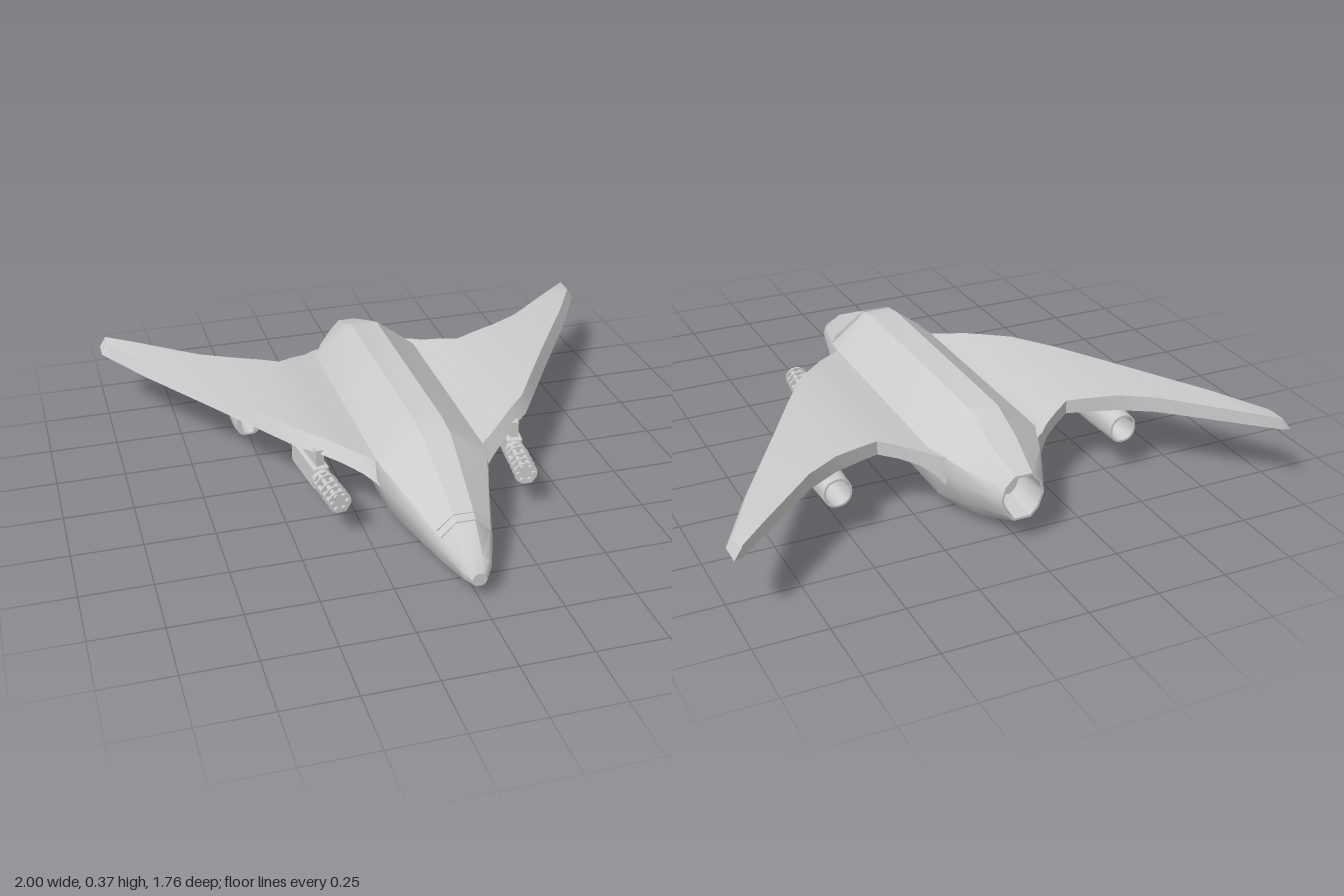
import * as THREE from 'three';
import { toCreasedNormals } from 'three/addons/utils/BufferGeometryUtils.js';
import { RoundedBoxGeometry } from 'three/addons/geometries/RoundedBoxGeometry.js';

const grey = new THREE.MeshStandardMaterial({ color: 0xcccccc });

function part(name, geometry, parent) {
  const mesh = new THREE.Mesh(geometry, grey);
  mesh.name = name;
  parent.add(mesh);
  return mesh;
}

// Skin a list of equal-length rings of [x, y, z]; optional flat end caps.
function loft(rings, caps = true, crease = 0.62) {
  const n = rings[0].length, index = [];
  for (let k = 0; k < rings.length - 1; k++) {
    for (let i = 0; i < n; i++) {
      const j = (i + 1) % n;
      const a = k * n + i, b = k * n + j, c = a + n, d = b + n;
      index.push(a, c, b, b, c, d);
    }
  }
  if (caps) {
    const e = (rings.length - 1) * n;
    for (let i = 1; i < n - 1; i++) index.push(0, i, i + 1, e, e + i + 1, e + i);
  }
  const g = new THREE.BufferGeometry();
  g.setAttribute('position', new THREE.Float32BufferAttribute(rings.flat(2), 3));
  g.setIndex(index);
  return toCreasedNormals(g, crease);
}

// Half outline (right side, bottom to top) completed to a symmetric ring.
const symmetric = (half, z) => [
  ...half.map(([x, y]) => [x, y, z]),
  ...[...half].reverse().map(([x, y]) => [-x, y, z]),
];

// Fuselage stations: z, then bottom, bilge, side, shoulder and spine points.
const stations = [
  [0.88, [0.01, 0.05], [0.02, 0.056], [0.026, 0.07], [0.022, 0.085], [0.01, 0.095]],
  [0.845, [0.025, 0.045], [0.045, 0.062], [0.053, 0.095], [0.043, 0.12], [0.02, 0.135]],
  [0.72, [0.04, 0.033], [0.08, 0.06], [0.098, 0.125], [0.088, 0.155], [0.034, 0.208]],
  [0.5, [0.07, 0.007], [0.13, 0.06], [0.163, 0.17], [0.152, 0.22], [0.045, 0.312]],
  [0.4, [0.085, 0.003], [0.16, 0.068], [0.197, 0.19], [0.188, 0.25], [0.05, 0.357]],
  [0.32, [0.085, 0.002], [0.165, 0.07], [0.2, 0.19], [0.195, 0.252], [0.05, 0.37]],
  [-0.52, [0.085, 0], [0.165, 0.07], [0.2, 0.185], [0.2, 0.25], [0.05, 0.365]],
  [-0.65, [0.065, 0.03], [0.125, 0.09], [0.158, 0.18], [0.148, 0.235], [0.05, 0.315]],
  [-0.81, [0.032, 0.09], [0.06, 0.12], [0.078, 0.175], [0.066, 0.22], [0.032, 0.255]],
];

function fuselage(parent) {
  const rings = stations.map(([z, ...half]) => symmetric(half, z));
  // hollow tail nozzle
  const tail = rings[rings.length - 1];
  for (const [s, z] of [[0.9, -0.81], [0.75, -0.68]]) {
    rings.push(tail.map(([x, y]) => [x * s, 0.173 + (y - 0.173) * s, z]));
  }
  part('fuselage', loft(rings), parent);
}

// Canopy shell: follows the shoulder and spine lines, lifted off the hull.
function canopy(name, zBack, zFront, reach, lift, parent) {
  const mix = THREE.MathUtils.lerp;
  const ring = (z) => {
    const t = (z - 0.4) / 0.32;
    const spine = [mix(0.05, 0.034, t), mix(0.357, 0.208, t)];
    const shoulder = [mix(0.188, 0.088, t), mix(0.25, 0.155, t)];
    const low = [0, 1].map((i) => mix(spine[i], shoulder[i], reach) + lift);
    return symmetric([[low[0] - 0.03, low[1] - 0.03], low, [spine[0], spine[1] + lift]], z);
  };
  part(name, loft([ring(zFront), ring(zBack)], true, 0.3), parent);
}

// Wing stations: x, leading z, trailing z, bottom y, top y.
const wingStations = [
  [0.17, 0.4, -0.59, 0.14, 0.245],
  [0.2, 0.37, -0.57, 0.175, 0.25],
  [0.24, 0.335, -0.53, 0.202, 0.257],
  [0.3, 0.275, -0.49, 0.222, 0.272],
  [0.36, 0.21, -0.45, 0.231, 0.281],
  [0.43, 0.14, -0.475, 0.235, 0.288],
  [0.53, -0.02, -0.51, 0.236, 0.294],
  [0.65, -0.215, -0.58, 0.236, 0.292],
  [0.86, -0.55, -0.77, 0.236, 0.284],
  [0.97, -0.745, -0.87, 0.236, 0.277],
  [1.0, -0.8, -0.88, 0.236, 0.275],
];

function wing(side, parent) {
  const rings = wingStations.map(([x, lead, trail, low, top]) => {
    const tx = Math.min(x, 0.975); // bevelled tip
    const ring = [
      [x, low, lead],
      [tx, top, Math.max(lead - 0.045, trail + 0.06)],
      [tx, top, trail],
      [x, low, trail],
    ];
    return side > 0 ? ring : ring.map(([a, b, c]) => [-a, b, c]).reverse();
  });
  part(side > 0 ? 'leftWing' : 'rightWing', loft(rings), parent);
}

// Hollow engine pod under the wing: slot intake in front, round outlet behind.
function enginePod(side, parent) {
  const profile = [ // z, half width, bottom y, top y, squareness
    [-0.187, 0.024, 0.135, 0.21, 0.6],
    [-0.187, 0.042, 0.128, 0.215, 0.65],
    [-0.24, 0.05, 0.122, 0.237, 0.65],
    [-0.4, 0.051, 0.12, 0.237, 0.75],
    [-0.545, 0.05, 0.124, 0.228, 0.9],
    [-0.545, 0.043, 0.131, 0.221, 0.9],
    [-0.187, 0.024, 0.135, 0.21, 0.6],
  ];
  const bend = (v, p) => Math.sign(v) * Math.abs(v) ** p;
  const rings = profile.map(([z, w, y0, y1, p]) => Array.from({ length: 24 }, (_, i) => {
    const a = (i / 24) * Math.PI * 2;
    return [
      side * 0.54 + w * bend(Math.cos(a), p),
      (y0 + y1) / 2 + ((y1 - y0) / 2) * bend(Math.sin(a), p),
      z,
    ];
  }));
  part('enginePod', loft(rings, false, 0.7), parent);
}

// Rotary gun, toed in slightly: housing, pylon, barrel cluster and clamps.
function gun(side, parent) {
  const g = new THREE.Group();
  g.name = side > 0 ? 'leftGun' : 'rightGun';
  g.position.set(side * 0.36, 0.14, 0.225);
  g.rotation.y = -side * 0.12;
  parent.add(g);

  part('gunHousing', new RoundedBoxGeometry(0.06, 0.09, 0.24, 2, 0.01), g).position.z = -0.12;
  part('gunPylon', new THREE.BoxGeometry(0.03, 0.07, 0.2), g).position.set(0, 0.07, -0.115);

  const rod = (name, r, z0, z1, x = 0, y = 0, sides = 16) => {
    const geo = new THREE.CylinderGeometry(r, r, z1 - z0, sides).rotateX(Math.PI / 2);
    part(name, geo, g).position.set(x, y, (z0 + z1) / 2);
  };
  rod('barrelCore', 0.014, 0, 0.165);
  for (let i = 0; i < 6; i++) {
    const a = (i / 6) * Math.PI * 2;
    rod('barrel', 0.01, 0, 0.182, 0.028 * Math.cos(a), 0.028 * Math.sin(a), 8);
  }
  rod('barrelBase', 0.038, -0.005, 0.02);
  for (const z of [0.042, 0.09, 0.125, 0.162]) rod('barrelClamp', 0.042, z, z + 0.009);
}

export function createModel() {
  const model = new THREE.Group();
  model.name = 'aircraft';
  fuselage(model);
  canopy('canopyFrame', 0.4, 0.73, 0.98, 0.003, model);
  canopy('canopyGlass', 0.418, 0.705, 0.9, 0.006, model);
  for (const side of [1, -1]) {
    wing(side, model);
    enginePod(side, model);
    gun(side, model);
  }
  return model;
}
